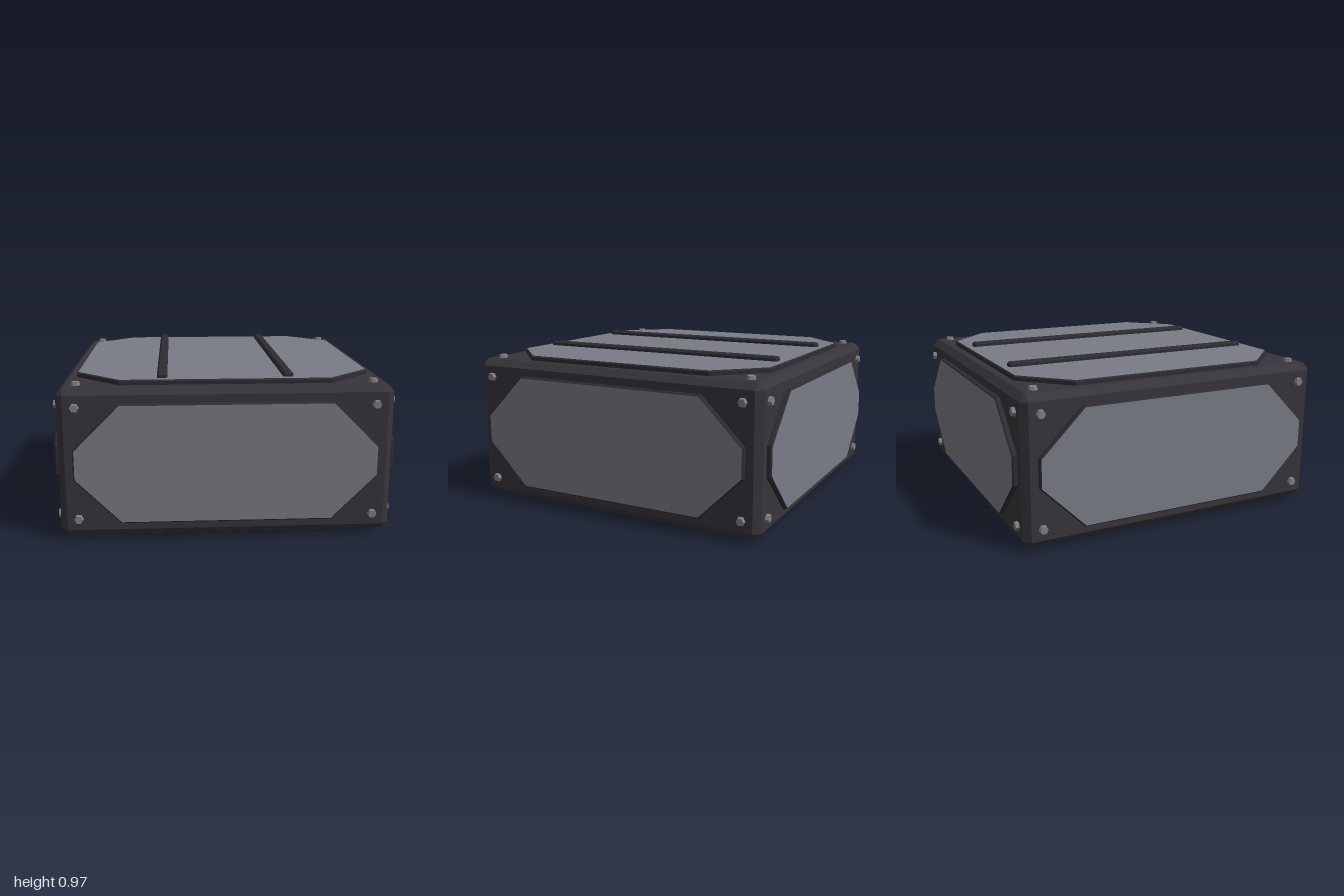
import * as THREE from 'three';
import { ConvexGeometry } from 'three/addons/geometries/ConvexGeometry.js';

const CENTRE_Y = 0.474;
const HALF = 0.97, HALF_Y = 0.441; // body half sizes
const RISE = 0.03; // how far the panels stand proud

function material(name, color) {
  const m = new THREE.MeshStandardMaterial({ color, flatShading: true });
  m.name = name;
  return m;
}

// Box with every edge and corner cut flat
function chamferedBox(hx, hy, hz, c) {
  const points = [];
  for (const x of [-1, 1]) for (const y of [-1, 1]) for (const z of [-1, 1]) {
    points.push(
      new THREE.Vector3(x * hx, y * (hy - c), z * (hz - c)),
      new THREE.Vector3(x * (hx - c), y * hy, z * (hz - c)),
      new THREE.Vector3(x * (hx - c), y * (hy - c), z * hz)
    );
  }
  return new ConvexGeometry(points);
}

// Octagonal plate with bevelled rim, front at z = RISE
function panelGeometry(w, h) {
  const b = 0.008, cut = 0.262;
  w -= b;
  h -= b;
  const shape = new THREE.Shape([
    [w, cut - h], [w, h - cut], [w - cut, h], [cut - w, h],
    [-w, h - cut], [-w, cut - h], [cut - w, -h], [w - cut, -h]
  ].map(([x, y]) => new THREE.Vector2(x, y)));
  const geometry = new THREE.ExtrudeGeometry(shape, {
    depth: 0.03, bevelEnabled: true, bevelSize: b, bevelThickness: b, bevelSegments: 1
  });
  return geometry.translate(0, 0, RISE - 0.03 - b);
}

export function createModel() {
  const frame = material('dark frame', 0x37353b);
  const trim = material('black trim', 0x2d2c32);
  const plate = material('grey plate', 0x797c85);
  const steel = material('bolt steel', 0x7f8083);

  const model = new THREE.Group();
  model.name = 'crate';

  const body = new THREE.Mesh(chamferedBox(HALF, HALF_Y, HALF, 0.04), frame);
  body.name = 'body';
  body.position.y = CENTRE_Y;
  model.add(body);

  // Hexagonal bolt head pointing along +z, with a narrowed top
  const boltGeometry = new THREE.CylinderGeometry(0.024, 0.03, 0.03, 6)
    .rotateY(Math.PI / 6).rotateX(Math.PI / 2).rotateZ(Math.PI / 3);
  boltGeometry.rotateZ(Math.PI / 6 - Math.PI / 3 + Math.PI / 6);
  boltGeometry.computeBoundingBox();
  const box = boltGeometry.boundingBox;
  // points of the hexagon lie left and right
  if (box.max.y > box.max.x) boltGeometry.rotateZ(Math.PI / 6);

  // One panel and four corner bolts per face
  function addFace(name, rx, ry, distance, halfHeight, boltY) {
    const face = new THREE.Group();
    face.name = name;
    const panel = new THREE.Mesh(panelGeometry(0.882, halfHeight), [plate, trim]);
    panel.name = name + 'Panel';
    panel.position.z = distance;
    face.add(panel);
    for (const x of [-1, 1]) for (const y of [-1, 1]) {
      const bolt = new THREE.Mesh(boltGeometry, steel);
      bolt.name = name + 'Bolt';
      bolt.position.set(x * 0.862, y * boltY, distance + 0.006);
      face.add(bolt);
    }
    face.rotation.set(rx, ry, 0);
    face.position.y = CENTRE_Y;
    model.add(face);
  }
  ['front', 'left', 'back', 'right'].forEach((name, i) =>
    addFace(name, 0, i * Math.PI / 2, HALF, 0.354, 0.332));
  addFace('top', -Math.PI / 2, 0, HALF_Y, 0.882, 0.862);
  addFace('bottom', Math.PI / 2, 0, HALF_Y, 0.882, 0.862);

  // Two long rails on the lid
  const railGeometry = chamferedBox(0.03, 0.025, 0.83, 0.011);
  for (const side of [-1, 1]) {
    const rail = new THREE.Mesh(railGeometry, trim);
    rail.name = side > 0 ? 'leftRail' : 'rightRail';
    rail.position.set(side * 0.368, 0.947, 0);
    model.add(rail);
  }

  return model;
}
